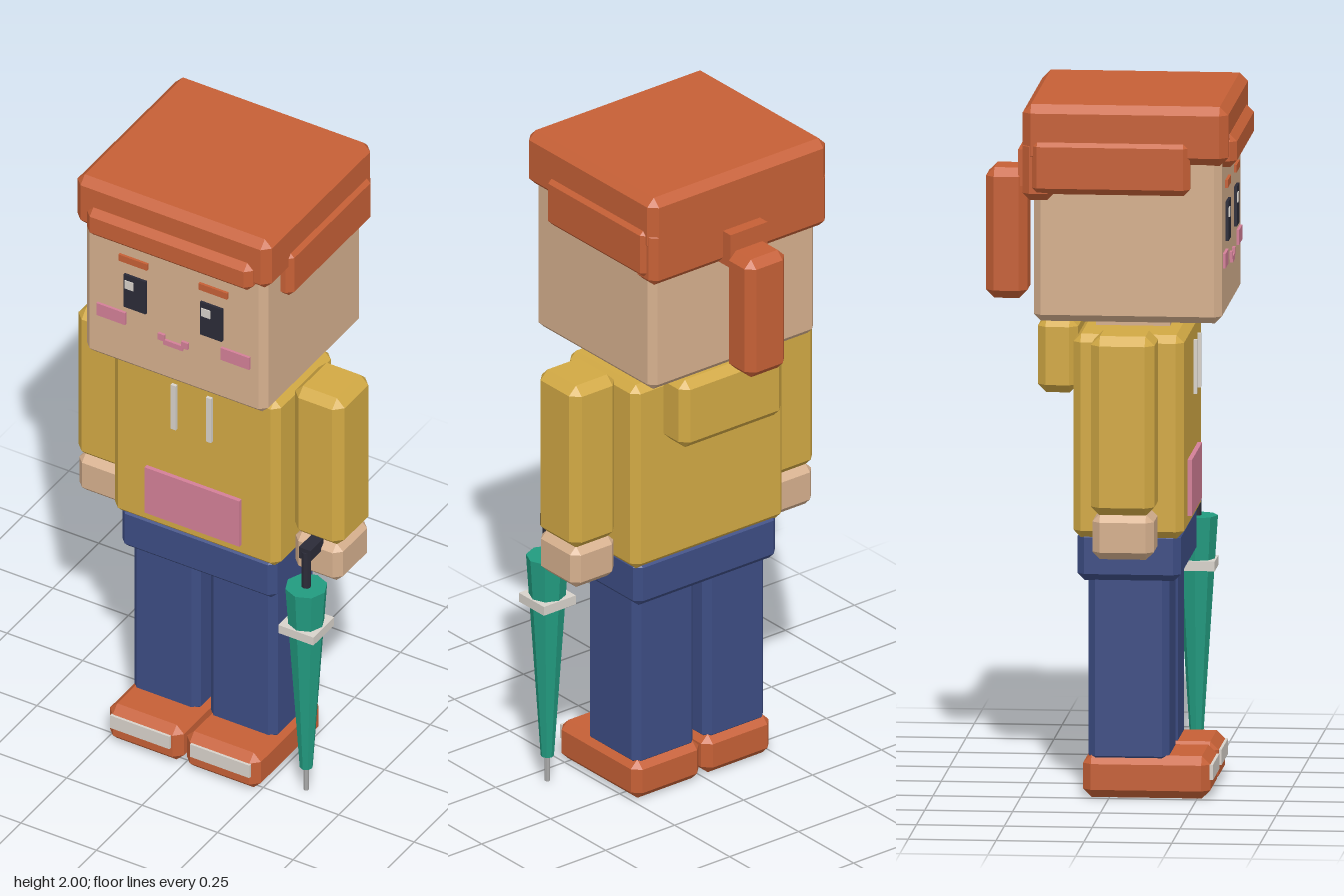
import * as THREE from 'three';
import { ConvexGeometry } from 'three/addons/geometries/ConvexGeometry.js';

const mat = (name, color) => {
  const m = new THREE.MeshStandardMaterial({ color });
  m.name = name;
  return m;
};

export function createModel() {
  const model = new THREE.Group();
  const hair = mat('ginger', 0xc66036), skin = mat('skin', 0xd6b08e), yellow = mat('mustard', 0xd2a944);
  const pink = mat('pink', 0xd48098), blue = mat('denim', 0x3d4d84), dark = mat('charcoal', 0x2b2b38);
  const teal = mat('teal', 0x229b80), light = mat('offWhite', 0xd8d3cb), metal = mat('metal', 0xa8a8a8);

  const add = (name, geometry, material) => {
    const mesh = new THREE.Mesh(geometry, material);
    mesh.name = name;
    model.add(mesh);
    return mesh;
  };

  // Box given by its limits on each axis; c > 0 cuts all edges and corners at 45 degrees
  const box = (name, material, [x0, x1], [y0, y1], [z0, z1], c = 0) => {
    const half = [(x1 - x0) / 2, (y1 - y0) / 2, (z1 - z0) / 2];
    let geometry;
    if (c > 0) {
      const points = [];
      for (const sx of [-1, 1]) for (const sy of [-1, 1]) for (const sz of [-1, 1]) {
        for (let axis = 0; axis < 3; axis++) {
          const p = half.map((h, i) => (i === axis ? h : h - c));
          points.push(new THREE.Vector3(p[0] * sx, p[1] * sy, p[2] * sz));
        }
      }
      geometry = new ConvexGeometry(points);
    } else {
      geometry = new THREE.BoxGeometry(half[0] * 2, half[1] * 2, half[2] * 2);
    }
    const mesh = add(name, geometry, material);
    mesh.position.set((x0 + x1) / 2, (y0 + y1) / 2, (z0 + z1) / 2);
    return mesh;
  };

  // The same box on both sides of the body
  const pair = (name, material, [x0, x1], y, z, c) => {
    box('left' + name, material, [x0, x1], y, z, c);
    box('right' + name, material, [-x1, -x0], y, z, c);
  };

  // Head and neck
  box('head', skin, [-0.3, 0.3], [1.375, 1.92], [-0.21, 0.325], 0.02);
  box('neck', skin, [-0.1, 0.1], [1.32, 1.39], [-0.05, 0.16]);

  // Hair: cap, fringe, sides, back and ponytail
  box('hairCap', hair, [-0.322, 0.322], [1.83, 2], [-0.24, 0.345], 0.024);
  box('fringe', hair, [-0.275, 0.275], [1.82, 1.915], [0.25, 0.366], 0.02);
  pair('SideHair', hair, [0.265, 0.334], [1.745, 1.9], [-0.215, 0.237], 0.018);
  box('backHair', hair, [-0.32, 0.32], [1.725, 1.9], [-0.24, -0.15], 0.02);
  box('hairTie', hair, [-0.067, 0.067], [1.725, 1.83], [-0.275, -0.2]);
  box('ponytail', hair, [-0.072, 0.072], [1.4, 1.775], [-0.368, -0.25], 0.024);

  // Face
  const face = [0.325, 0.333];
  pair('Eye', dark, [0.09, 0.163], [1.592, 1.706], face);
  for (const x of [-0.158, 0.096]) box('eyeHighlight', light, [x, x + 0.029], [1.66, 1.688], [0.333, 0.336]);
  pair('Eyebrow', hair, [0.085, 0.18], [1.748, 1.77], face);
  pair('Cheek', pink, [0.158, 0.253], [1.528, 1.57], face);
  pair('MouthCorner', pink, [0.028, 0.05], [1.52, 1.542], face);
  box('mouth', pink, [-0.032, 0.032], [1.509, 1.526], face);

  // Hoodie
  box('torso', yellow, [-0.275, 0.275], [0.75, 1.335], [-0.1, 0.215], 0.022);
  box('hood', yellow, [-0.185, 0.185], [1.15, 1.365], [-0.21, -0.095], 0.024);
  box('pocket', pink, [-0.157, 0.157], [0.8, 0.96], [0.213, 0.228]);
  pair('Drawstring', light, [0.05, 0.067], [1.135, 1.29], [0.224, 0.234]);
  pair('Arm', yellow, [0.277, 0.441], [0.84, 1.356], [-0.035, 0.146], 0.026);
  pair('Hand', skin, [0.28, 0.437], [0.715, 0.845], [-0.031, 0.144], 0.022);

  // Trousers and shoes
  box('hips', blue, [-0.257, 0.257], [0.625, 0.77], [-0.09, 0.204], 0.02);
  pair('Leg', blue, [0.017, 0.238], [0.1, 0.65], [-0.06, 0.17], 0.02);
  pair('Shoe', hair, [0.005, 0.25], [0, 0.122], [-0.075, 0.287], 0.024);
  pair('ToeCap', light, [0.034, 0.231], [0.054, 0.098], [0.285, 0.295]);

  // Furled umbrella in the left hand
  const ux = 0.358, uz = 0.193;
  const rod = (name, material, rTop, rBottom, y0, y1) => {
    const geometry = new THREE.CylinderGeometry(rTop, rBottom, y1 - y0, 8).toNonIndexed();
    geometry.computeVertexNormals();
    add(name, geometry, material).position.set(ux, (y0 + y1) / 2, uz);
  };
  rod('umbrellaCanopy', teal, 0.061, 0.019, 0.08, 0.717);
  rod('umbrellaTip', metal, 0.008, 0.008, 0, 0.09);
  rod('umbrellaShaft', dark, 0.014, 0.014, 0.7, 0.84);
  box('umbrellaBand', light, [ux - 0.058, ux + 0.058], [0.565, 0.593], [uz - 0.057, uz + 0.057]);
  box('umbrellaHandle', dark, [ux - 0.019, ux + 0.019], [0.815, 0.853], [0.13, 0.202]);

  return model;
}
